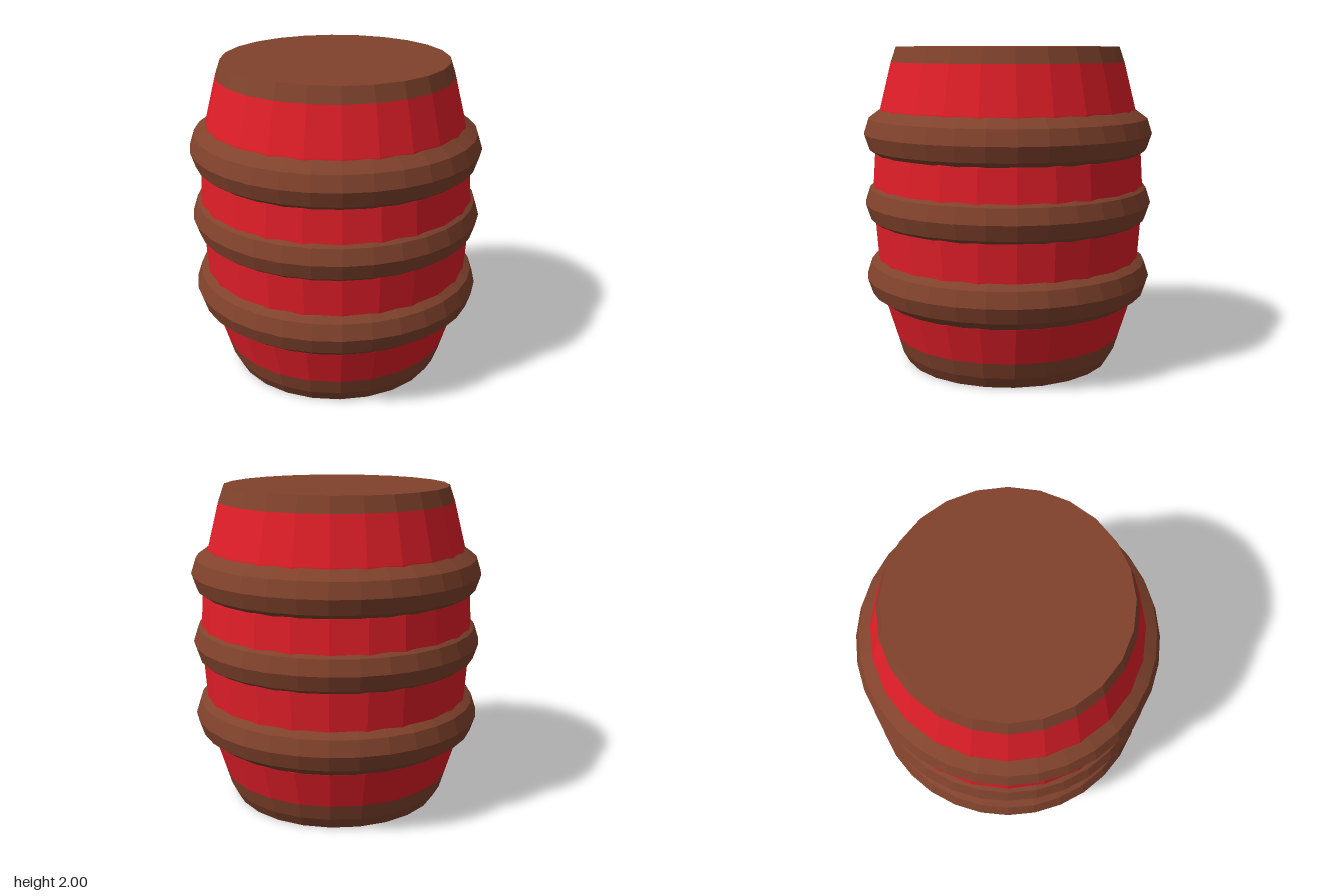
import * as THREE from 'three';

export function createModel() {
  const barrel = new THREE.Group();
  barrel.name = 'barrel';
  const brown = new THREE.MeshStandardMaterial({ color: 0x80422c, flatShading: true });
  const red = new THREE.MeshStandardMaterial({ color: 0xe01e28, flatShading: true });

  function add(name, geometry, material, y = 0) {
    const mesh = new THREE.Mesh(geometry, material);
    mesh.name = name;
    mesh.position.y = y;
    barrel.add(mesh);
    return mesh;
  }
  const lathe = (points) =>
    new THREE.LatheGeometry(points.map(([r, y]) => new THREE.Vector2(r, y)), 24);

  // Bulging body between the two rims
  add('body', lathe([
    [0.73, 0.17], [0.8, 0.4], [0.835, 0.66], [0.852, 0.91],
    [0.86, 1.12], [0.845, 1.34], [0.805, 1.62], [0.733, 1.905],
  ]), red);

  // Closed rims at both ends
  add('bottomRim', lathe([[0, 0], [0.66, 0], [0.7, 0.07], [0.73, 0.17]]), brown);
  add('topRim', lathe([[0.733, 1.905], [0.7, 2], [0, 2]]), brown);

  // Three thick hoops, ten-sided in section
  [['lowerHoop', 0.555], ['middleHoop', 1.03], ['upperHoop', 1.465]].forEach(([name, y]) => {
    const ring = new THREE.TorusGeometry(0.75, 0.16, 10, 32).rotateX(-Math.PI / 2);
    add(name, ring, brown, y);
  });

  return barrel;
}
